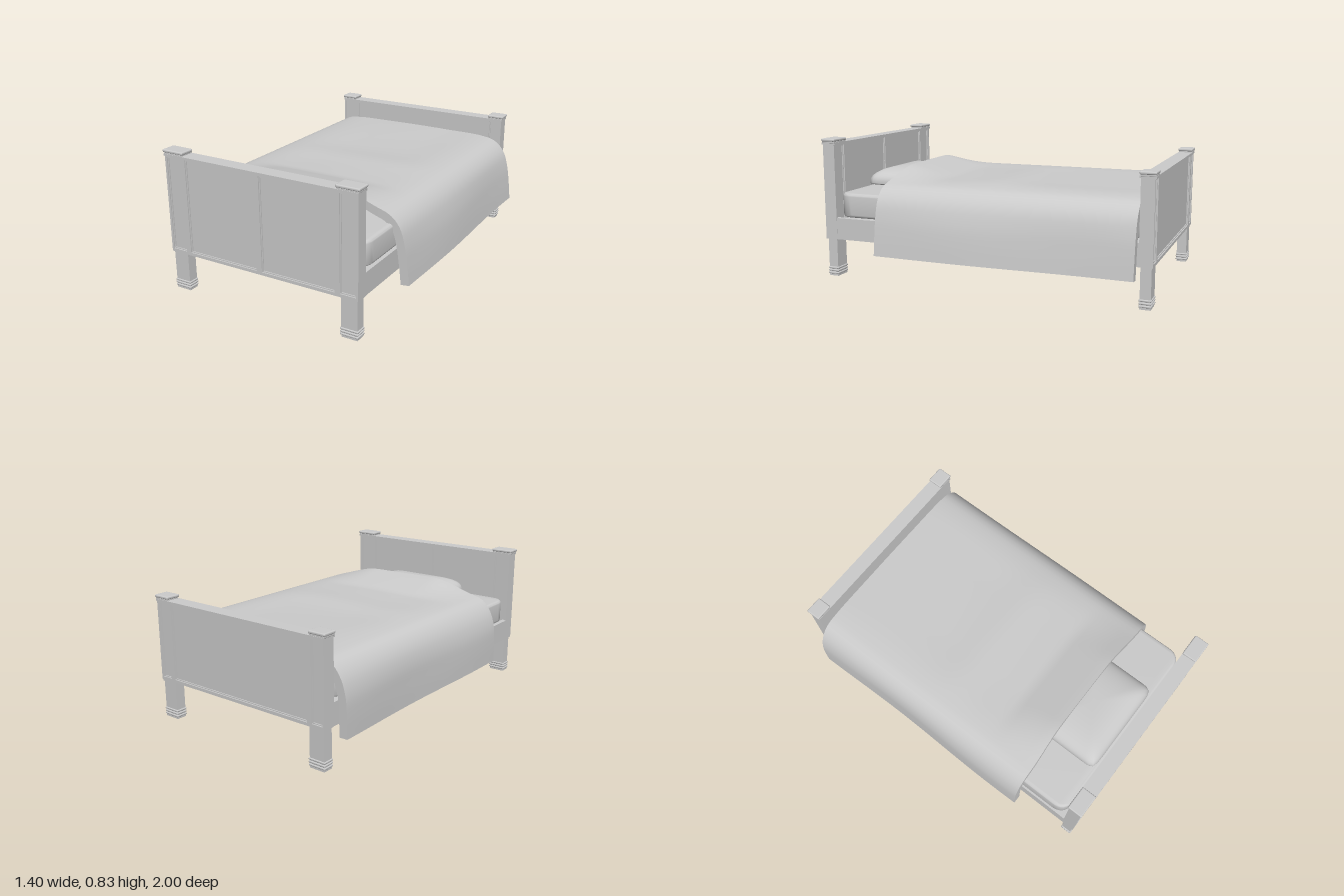
import * as THREE from 'three';
import { toCreasedNormals } from 'three/addons/utils/BufferGeometryUtils.js';
import { RoundedBoxGeometry } from 'three/addons/geometries/RoundedBoxGeometry.js';

const material = new THREE.MeshStandardMaterial({ color: 0xcccccc });
const CX = -0.015; // middle of the bedstead, the blanket hangs slightly off centre

function add(parent, name, geometry, x = 0, y = 0, z = 0) {
  const mesh = new THREE.Mesh(geometry, material);
  mesh.name = name;
  mesh.position.set(x, y, z);
  parent.add(mesh);
  return mesh;
}

function rectangle(path, x0, y0, x1, y1) {
  path.moveTo(x0, y0);
  path.lineTo(x1, y0);
  path.lineTo(x1, y1);
  path.lineTo(x0, y1);
  path.closePath();
  return path;
}

// Flat board with recessed panels; each hole is [x0, x1], shrunk by inset
function frameLayer(halfWidth, y0, y1, holes, inset, depth) {
  const shape = rectangle(new THREE.Shape(), -halfWidth, y0, halfWidth, y1);
  for (const [a, b] of holes) {
    shape.holes.push(rectangle(new THREE.Path(), a + inset, y0 + 0.018 + inset, b - inset, y1 - 0.018 - inset));
  }
  return new THREE.ExtrudeGeometry(shape, { depth, bevelEnabled: false });
}

// Head or foot end: panelled board, corner caps and legs
function bedEnd(name, top, capWidth, holes) {
  const end = new THREE.Group();
  end.name = name;
  const bottom = 0.23, half = 0.61, height = top - bottom;
  add(end, 'boardCore', new THREE.BoxGeometry(half * 2, height, 0.05), 0, bottom + height / 2, 0);
  for (const side of [1, -1]) {
    const face = new THREE.Group();
    face.name = 'panelFrame';
    face.rotation.y = side > 0 ? 0 : Math.PI;
    add(face, 'panelMoulding', frameLayer(half, bottom, top, holes, 0.006, 0.006), 0, 0, 0.025);
    add(face, 'panelBorder', frameLayer(half, bottom, top, holes, 0, 0.007), 0, 0, 0.031);
    end.add(face);
  }
  add(end, 'topRail', new THREE.BoxGeometry(1.226, 0.012, 0.088), 0, top - 0.005, 0);
  for (const side of [-1, 1]) {
    const capX = side * (0.62 - capWidth / 2);
    add(end, 'capNeck', new RoundedBoxGeometry(capWidth - 0.012, 0.014, 0.084, 2, 0.004), capX, top + 0.004, 0);
    add(end, 'cap', new RoundedBoxGeometry(capWidth, 0.017, 0.09, 3, 0.007), capX, top + 0.0165, 0);
    const legX = side * 0.553;
    add(end, 'leg', new THREE.BoxGeometry(0.096, 0.24, 0.06), legX, 0.12, 0);
    for (const y of [0.018, 0.034, 0.05]) {
      add(end, 'legRing', new RoundedBoxGeometry(0.108, 0.012, 0.07, 2, 0.005), legX, y, 0);
    }
  }
  return end;
}

// Slab with rounded corners and soft edges
function mattressGeometry(width, height, length, radius, bevel) {
  const w = width / 2 - bevel, l = length / 2 - bevel, s = new THREE.Shape();
  s.moveTo(-w + radius, -l);
  s.lineTo(w - radius, -l);
  s.quadraticCurveTo(w, -l, w, -l + radius);
  s.lineTo(w, l - radius);
  s.quadraticCurveTo(w, l, w - radius, l);
  s.lineTo(-w + radius, l);
  s.quadraticCurveTo(-w, l, -w, l - radius);
  s.lineTo(-w, -l + radius);
  s.quadraticCurveTo(-w, -l, -w + radius, -l);
  const g = new THREE.ExtrudeGeometry(s, {
    depth: height - 2 * bevel, bevelSize: bevel, bevelThickness: bevel, bevelSegments: 4, curveSegments: 8,
  });
  g.translate(0, 0, bevel);
  g.rotateX(-Math.PI / 2);
  return toCreasedNormals(g, 0.7);
}

// Sphere squared off into a cushion, domed above and nearly flat below
function pillowGeometry(width, rise, drop, length) {
  const g = new THREE.SphereGeometry(1, 80, 48);
  const p = g.attributes.position, v = new THREE.Vector3();
  const corner = 14, dome = 2.6;
  for (let i = 0; i < p.count; i++) {
    v.fromBufferAttribute(p, i);
    const plan = Math.pow(Math.abs(v.x) ** corner + Math.abs(v.z) ** corner, dome / corner);
    const k = Math.pow(plan + Math.abs(v.y) ** dome, -1 / dome);
    p.setXYZ(i, v.x * k * width / 2, v.y * k * (v.y > 0 ? rise : drop), v.z * k * length / 2);
  }
  g.computeVertexNormals();
  return g;
}

// Thick cloth: one cross-section swept along z, lifted over the pillow
function blanketGeometry() {
  const profile = [
    [-0.7, 0.178], [-0.698, 0.3], [-0.69, 0.41], [-0.66, 0.5], [-0.6, 0.565], [-0.5, 0.586], [-0.2, 0.59],
    [0.2, 0.59], [0.46, 0.586], [0.56, 0.563], [0.625, 0.5], [0.66, 0.4], [0.68, 0.28], [0.692, 0.175],
  ].map(([x, y]) => new THREE.Vector3(x, y, 0));
  const curve = new THREE.CatmullRomCurve3(profile);
  const N = 64, M = 44, thickness = 0.05, ring = 2 * (N + 1);
  const smooth = THREE.MathUtils.smoothstep;
  const positions = [], index = [];
  for (let k = 0; k <= M; k++) {
    const outer = [], inner = [];
    for (let i = 0; i <= N; i++) {
      const p = curve.getPointAt(i / N), d = curve.getTangentAt(i / N);
      const across = 1 - smooth(Math.abs(p.x - CX), 0.22, 0.56);
      const z = -0.913 + (k / M) * (1.526 - 0.015 * across);
      const hang = 1 - smooth(p.y, 0.3, 0.56);
      const lift = across * (0.068 * THREE.MathUtils.clamp((z - 0.32) / 0.27, 0, 1)
        + 0.009 * Math.exp(-(((z + 0.05) / 0.14) ** 2))
        + 0.003 * Math.sin(5 * z + 4 * p.x));
      const sway = hang * 0.006 * Math.sin(z * 4.5 + (p.x > 0 ? 1.2 : 3));
      outer.push(p.x + sway, p.y + lift, z);
      inner.unshift(p.x + sway + d.y * thickness, p.y + lift - d.x * thickness, z);
    }
    positions.push(...outer, ...inner);
  }
  const quad = (a, b, c, d) => index.push(a, b, c, a, c, d);
  for (let k = 0; k < M; k++) {
    for (let i = 0; i < ring; i++) {
      const j = (i + 1) % ring, a = k * ring, b = a + ring;
      quad(a + i, b + i, b + j, a + j);
    }
  }
  // End faces
  const last = M * ring;
  for (let i = 0; i < N; i++) {
    const n = ring - 1 - i;
    quad(last + i, last + n, last + n - 1, last + i + 1);
    quad(i, i + 1, n - 1, n);
  }
  const g = new THREE.BufferGeometry();
  g.setAttribute('position', new THREE.Float32BufferAttribute(positions, 3));
  g.setIndex(index);
  return toCreasedNormals(g, 0.8);
}

export function createModel() {
  const bed = new THREE.Group();
  bed.name = 'bed';

  const headboard = bedEnd('headboard', 0.81, 0.138,
    [[-0.597, -0.503], [-0.472, -0.018], [0.018, 0.472], [0.503, 0.597]]);
  headboard.position.set(CX, 0, 0.955);
  const footboard = bedEnd('footboard', 0.711, 0.106,
    [[-0.597, -0.527], [-0.497, 0.497], [0.527, 0.597]]);
  footboard.position.set(CX, 0, -0.955);
  bed.add(headboard, footboard);

  // Base with side rails
  add(bed, 'bedBase', new THREE.BoxGeometry(1.16, 0.11, 1.85), CX, 0.287, 0);
  for (const side of [-1, 1]) {
    add(bed, 'sideRail', new THREE.BoxGeometry(0.03, 0.13, 1.85), CX + side * 0.593, 0.295, 0);
  }

  // Bedding
  add(bed, 'mattress', mattressGeometry(1.2, 0.145, 1.81, 0.07, 0.018), CX, 0.365, 0);
  add(bed, 'pillow', pillowGeometry(0.6, 0.1, 0.022, 0.45), -0.02, 0.53, 0.662);
  add(bed, 'blanket', blanketGeometry());
  return bed;
}
